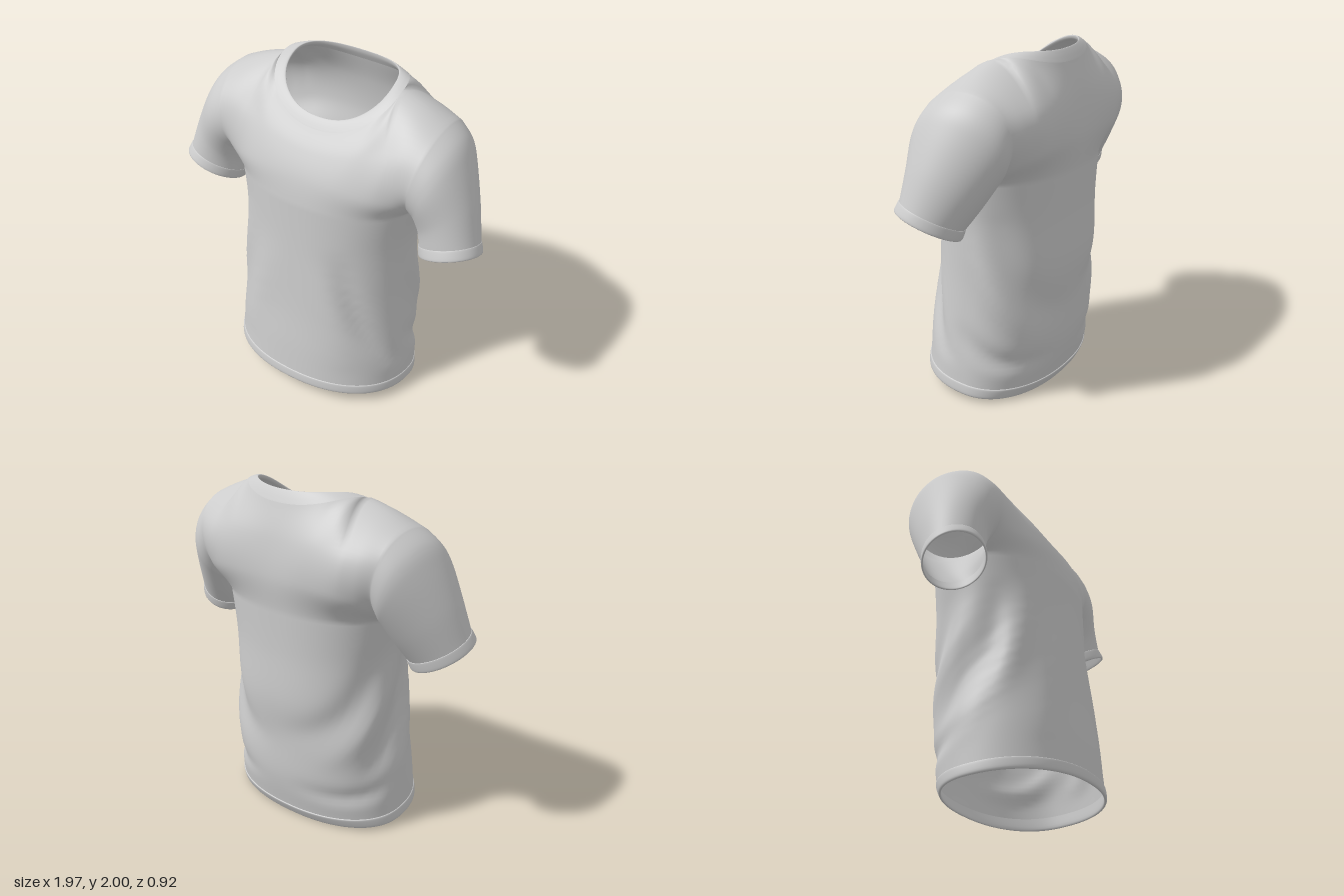
import * as THREE from 'three';
import { mergeGeometries, mergeVertices } from 'three/addons/utils/BufferGeometryUtils.js';

const { PI, sin, cos, abs, sign, min, max, hypot } = Math;
const HALF = 64;      // columns across the front or the back
const LOWER = 44;     // rows from hem to armpit
const UPPER = 28;     // rows from armpit to shoulder
const NECK = 19;      // columns in a quarter of the neckline
const lerp = (a, b, t) => a + (b - a) * t;
const mix = (p, q, t) => p.map((c, i) => lerp(c, q[i], t));
const smooth = THREE.MathUtils.smoothstep;
const pow = (c, p) => sign(c) * abs(c) ** p;

// Smooth interpolation through a list of number rows, t in 0..1
function spline(rows, t) {
  const n = rows.length - 1, k = min(Math.floor(t * n), n - 1), f = t * n - k;
  const [a, b, c, d] = [max(k - 1, 0), k, k + 1, min(k + 2, n)].map((i) => rows[i]);
  return b.map((_, i) => 0.5 * (2 * b[i] + (c[i] - a[i]) * f
    + (2 * a[i] - 5 * b[i] + 4 * c[i] - d[i]) * f * f
    + (3 * b[i] - a[i] - 3 * c[i] + d[i]) * f ** 3));
}

// Grid surface from point(i, j)
function grid(nu, nv, point) {
  const pos = [], index = [];
  for (let j = 0; j <= nv; j++) for (let i = 0; i <= nu; i++) pos.push(...point(i, j));
  for (let j = 0; j < nv; j++) for (let i = 0; i < nu; i++) {
    const a = j * (nu + 1) + i, b = a + nu + 1;
    index.push(a, a + 1, b + 1, a, b + 1, b);
  }
  const g = new THREE.BufferGeometry();
  g.setAttribute('position', new THREE.Float32BufferAttribute(pos, 3));
  g.setIndex(index);
  return g;
}

function weld(...parts) {
  const g = mergeVertices(mergeGeometries(parts), 1e-4);
  g.computeVertexNormals();
  return g;
}

// Torso rings: height, half width, side z, front z, back z, forward tilt
const torsoRings = [
  [0.10, 0.582, 0.00, 0.452, -0.36, 0.10],
  [0.30, 0.572, -0.01, 0.432, -0.40, 0.08],
  [0.55, 0.548, -0.02, 0.402, -0.412, 0.05],
  [0.80, 0.533, -0.03, 0.38, -0.438, 0.03],
  [1.08, 0.533, -0.04, 0.36, -0.432, 0.01],
  [1.33, 0.57, -0.05, 0.345, -0.436, 0],
];
const hemRings = [
  torsoRings[0],
  [0.092, 0.588, 0, 0.458, -0.364, 0.10],
  [0.048, 0.592, 0, 0.463, -0.342, 0.10],
  [0.034, 0.584, 0, 0.455, -0.332, 0.10],
  [0.046, 0.574, 0, 0.445, -0.327, 0.10],
  [0.110, 0.576, 0, 0.447, -0.355, 0.10],
];

// Draped folds: three (turn, y) points of a curve, then width and depth.
// Turn is 0 at the front, +-1 at the sides and +-2 at the back.
const folds = [
  [0.3, 1.05, 0.42, 0.5, 0.9, 0.2, 0.06, -0.035], [0.2, 0.95, 0.3, 0.6, 0.4, 0.2, 0.08, 0.012],
  [-0.2, 1.0, -0.3, 0.6, -0.42, 0.2, 0.08, 0.012], [-0.75, 1.2, -0.78, 0.7, -0.9, 0.3, 0.06, -0.02],
  [-0.5, 1.2, -0.6, 0.6, -1.15, 0.22, 0.07, 0.022], [-0.8, 1.1, -0.9, 0.55, -1.4, 0.35, 0.07, -0.03],
  [-0.98, 1.15, -1.1, 0.65, -1.7, 0.45, 0.07, 0.022], [-1.2, 1.15, -1.3, 0.7, -1.95, 0.6, 0.08, -0.022],
  [0.98, 1.15, 1.1, 0.6, 1.7, 0.35, 0.07, 0.022], [1.2, 1.15, 1.3, 0.65, 1.9, 0.5, 0.08, -0.025],
  [0.95, 0.45, 1.2, 0.2, 1.8, 0.26, 0.06, -0.025], [-1.0, 0.35, -1.4, 0.18, -1.9, 0.28, 0.06, -0.02],
].map((f) => {
  const path = [];
  for (let k = 0; k <= 1; k += 1 / 24) {
    const at = (n) => (1 - k) ** 2 * f[n] + 2 * k * (1 - k) * f[n + 2] + k * k * f[n + 4];
    path.push([at(0), at(1), sin(k * PI)]);
  }
  return { path, width: f[6], depth: f[7] };
});
function foldDepth(turn, y) {
  let sum = 0;
  for (const { path, width, depth } of folds) for (const wrap of [-4, 0, 4]) {
    let strongest = 0;
    for (const [s, py, taper] of path) {
      const d = hypot((turn + wrap - s) * 0.55, y - py) / width;
      strongest = max(strongest, taper * Math.exp(-d * d));
    }
    sum += depth * strongest;
  }
  return sum * smooth(y, 0.13, 0.26) * (1 - smooth(y, 1.1, 1.28));
}

// Point on a torso ring; a runs -1..1 from the right side to the left side
function ringPoint([y, w, zs, zf, zb, tilt], a, front, folded) {
  const s = pow(sin(a * PI / 2), 0.9), c = pow(max(cos(a * PI / 2), 0), 0.9);
  const turn = front ? a : (a < 0 ? -2 - a : 2 - a);
  const d = folded ? foldDepth(turn, y) : 0;
  const z = zs + c * ((front ? zf : zb) - zs) + d * c * (front ? 1 : -1);
  return [w * s + d * s, y + tilt * z, z];
}

// Neckline loops: psi is 0 at the front and PI at the back
const neckLoop = (psi, rx, zc, rz, top, zTop, k) => {
  const z = zc + rz * pow(cos(psi), 0.88);
  return [rx * pow(sin(psi), 0.88), top - k * (z - zTop) ** 2, z];
};
const neckSeam = (psi) => neckLoop(psi, 0.39, -0.105, 0.265, 1.98, -0.2, 1.95);
const neckEdge = (psi) => neckLoop(psi, 0.325, -0.11, 0.22, 2.0, -0.25, 1.7);

// Sleeve rings: centre, upper axis, front axis
const sleeveRings = [
  [0.62, 1.59, -0.08, 0.05, 0.26, -0.02, 0, 0, 0.285],
  [0.669, 1.54, -0.075, 0.092, 0.232, -0.01, 0, 0.01, 0.282],
  [0.704, 1.475, -0.06, 0.12, 0.185, 0, 0, 0.02, 0.264],
  [0.757, 1.335, -0.025, 0.147, 0.125, 0, 0, 0.045, 0.212],
  [0.795, 1.205, 0.017, 0.168, 0.06, 0, 0, 0.058, 0.172],
];
const sleevePoint = (r, phi, scale = 1) => [0, 1, 2].map((i) =>
  r[i] + scale * (cos(phi) * r[3 + i] + sin(phi) * r[6 + i]));
const armhole = (phi) => sleevePoint(sleeveRings[0], phi);

// Two curves across the upper front and the upper back, from centre to armhole
const frontRows = [
  [[0, 1.49, 0.31], [0.22, 1.488, 0.302], [0.40, 1.48, 0.265], [0.53, 1.47, 0.215], armhole(PI * 2 / 3)],
  [[0, 1.625, 0.24], [0.24, 1.655, 0.22], [0.40, 1.71, 0.17], [0.54, 1.735, 0.158], armhole(PI / 3)],
];
const backRows = [
  [[0, 1.53, -0.457], [0.22, 1.53, -0.46], [0.41, 1.515, -0.44], [0.53, 1.49, -0.385], armhole(-PI * 2 / 3)],
  [[0, 1.74, -0.43], [0.24, 1.745, -0.435], [0.41, 1.755, -0.41], [0.55, 1.74, -0.375], armhole(-PI / 3)],
];
const across = (row, q) => spline([[-row[1][0], row[1][1], row[1][2]], ...row], (1 + 4 * q) / 5);

// Chest and back yoke: columns rise from the chest to the neck or over the shoulder
function yokePoint(a, t, front) {
  const m = abs(a), side = front ? 1 : -1, split = 2 * NECK / HALF;
  const [rows, other] = front ? [frontRows, backRows] : [backRows, frontRows];
  const column = (q) => {
    const low = across(rows[0], q), high = across(rows[1], q);
    let top;
    if (q <= split) {
      const psi = q / split * PI / 2;
      top = neckSeam(front ? psi : PI - psi);
    } else {
      const f = (q - split) / (1 - split);
      top = mix(neckSeam(PI / 2), armhole(0), f);
      top[1] += 0.01 * sin(f * PI);
    }
    const onward = top.map((c, i) => c + 0.8 * (c - high[i]));
    const after = mix(onward, across(other[1], q), smooth(q, 0.3, 0.6));
    const below = ringPoint(spline(torsoRings, 0.87), q, front);
    return spline([below, ringPoint(torsoRings[5], q, front), low, high, top, after], (1 + 3 * t) / 5);
  };
  const edge = column(1), arm = armhole(side * PI * (1 - t));
  const [x, y, z] = column(m).map((c, i) => c + m ** 4 * (arm[i] - edge[i]));
  return [a < 0 ? -x : x, y, z];
}

function torsoPanel(front) {
  return grid(HALF, LOWER + UPPER, (i, j) => {
    const a = (2 * i / HALF - 1) * (front ? 1 : -1);
    return j <= LOWER ? ringPoint(spline(torsoRings, j / LOWER), a, front, true)
      : yokePoint(a, (j - LOWER) / UPPER, front);
  });
}

// Hem runs once round: front right to left, then back left to right
const around = (i) => (i <= HALF ? [2 * i / HALF - 1, true] : [3 - 2 * i / HALF, false]);
const hemBand = () => grid(2 * HALF, 20, (i, j) => ringPoint(spline(hemRings, 1 - j / 20), ...around(i)));

const mirrored = ([x, y, z], s) => [s * x, y, z];

function sleeve(s) {
  return grid(2 * UPPER, 30, (i, j) =>
    mirrored(sleevePoint(spline(sleeveRings, j / 30), s * PI * i / UPPER), s));
}

// Rolled cuff: distance along the sleeve and scale for each ring
function cuff(s) {
  const profile = [[0, 1], [0.006, 1.02], [0.05, 1.035], [0.062, 1.01], [0.056, 0.97], [0, 0.985]];
  const r = sleeveRings[4], along = [0.315, -0.9, 0.297];
  return grid(2 * UPPER, 20, (i, j) => {
    const [d, k] = spline(profile, j / 20);
    const p = sleevePoint(r, s * PI * i / UPPER, k);
    return mirrored(p.map((c, n) => c + d * along[n]), s);
  });
}

// Neckband: blend from seam to edge and lift for each ring, turned in at the edge
function neckband() {
  const profile = [[0, 0], [0.15, 0.002], [0.5, 0.005], [0.9, 0.004], [1, -0.004], [0.85, -0.02], [0.3, -0.025]];
  return grid(4 * NECK, 24, (i, j) => {
    const [f, lift] = spline(profile, j / 24), psi = PI - i / (2 * NECK) * PI;
    const p = mix(neckSeam(abs(psi)), neckEdge(abs(psi)), f);
    return [psi < 0 ? p[0] : -p[0], p[1] + lift, p[2]];
  });
}

export function createModel() {
  const shirt = new THREE.Group();
  shirt.name = 'shirt';
  const fabric = new THREE.MeshStandardMaterial({ color: 0xcccccc, side: THREE.DoubleSide });
  fabric.name = 'grey fabric';
  const add = (name, ...parts) => {
    const mesh = new THREE.Mesh(weld(...parts), fabric);
    mesh.name = name;
    shirt.add(mesh);
  };

  add('bodyAndSleeves', torsoPanel(true), torsoPanel(false), sleeve(1), sleeve(-1));
  add('neckband', neckband());
  add('hemBand', hemBand());
  add('leftCuff', cuff(1));
  add('rightCuff', cuff(-1));
  return shirt;
}
